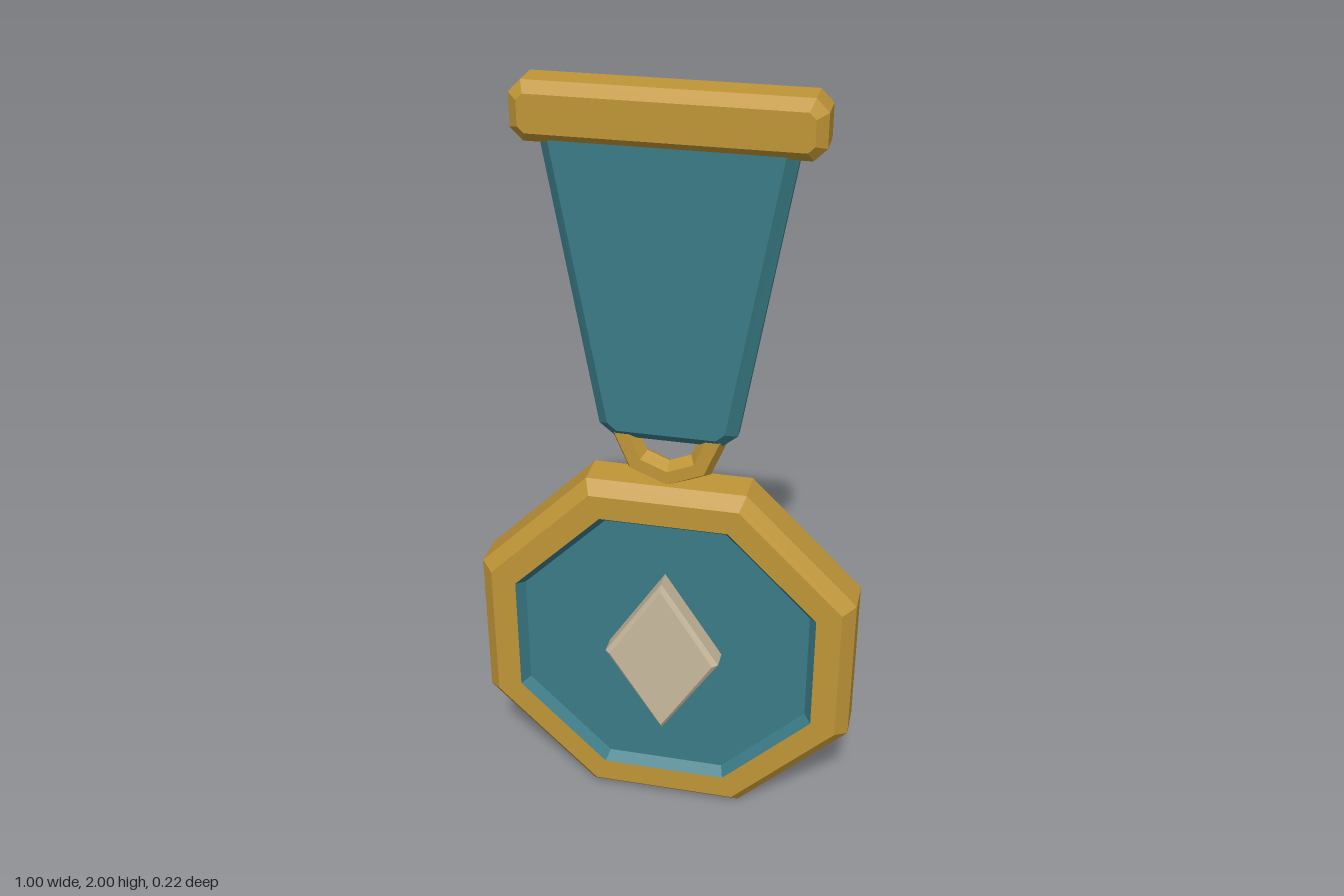
import * as THREE from 'three';

const gold = new THREE.MeshStandardMaterial({ color: 0xbf9537 });
gold.name = 'gold';
const teal = new THREE.MeshStandardMaterial({ color: 0x3a7b86 });
teal.name = 'teal';
const cream = new THREE.MeshStandardMaterial({ color: 0xc8b99d });
cream.name = 'cream';

// Give every face its own hard-edged normal
function faceted(geometry) {
  const g = geometry.index ? geometry.toNonIndexed() : geometry;
  g.computeVertexNormals();
  return g;
}

function part(name, geometry, material, y = 0) {
  const mesh = new THREE.Mesh(faceted(geometry), material);
  mesh.name = name;
  mesh.position.y = y;
  return mesh;
}

// Right half of an outline, mirrored across x = 0 (points run bottom to top)
function mirrored(half) {
  const left = half.filter(([x]) => x > 0).reverse().map(([x, y]) => [-x, y]);
  return new THREE.Shape([...half, ...left].map(([x, y]) => new THREE.Vector2(x, y)));
}

// Plate centred on z = 0, chamfered inwards on both faces
function chamferedPlate(shape, halfDepth, inset, chamferDepth) {
  const depth = 2 * (halfDepth - chamferDepth);
  return new THREE.ExtrudeGeometry(shape, {
    depth, bevelEnabled: true, bevelSegments: 1,
    bevelSize: inset, bevelOffset: -inset, bevelThickness: chamferDepth,
  }).translate(0, 0, -depth / 2);
}

// Octagonal turned form facing z; profile is [flat-to-centre distance, z]
function octagon(profile) {
  const points = profile.map(([r, z]) => new THREE.Vector2(r / Math.cos(Math.PI / 8), z));
  return new THREE.LatheGeometry(points, 8, Math.PI / 8).rotateX(Math.PI / 2);
}

export function createModel() {
  const model = new THREE.Group();
  model.name = 'medal';
  const centre = 0.4975;

  // Octagonal medal with recessed panels on both sides
  model.add(part('medalRim', octagon([
    [0.4, -0.078], [0.465, -0.078], [0.4975, -0.045],
    [0.4975, 0.045], [0.465, 0.078], [0.4, 0.078],
  ]), gold, centre));
  model.add(part('frontPanel', octagon([[0.4, 0.078], [0.38, 0.05], [0, 0.05]]), teal, centre));
  model.add(part('backPanel', octagon([[0, -0.05], [0.38, -0.05], [0.4, -0.078]]), teal, centre));

  // Diamond showing on both faces
  const diamond = mirrored([[0, -0.235], [0.152, 0], [0, 0.235]]);
  model.add(part('diamond', chamferedPlate(diamond, 0.11, 0.012, 0.012), cream, 0.5));

  // Hanging ring
  model.add(part('hangingRing', new THREE.TorusGeometry(0.115, 0.036, 6, 8), gold, 1.126));

  // Tapered ribbon
  const ribbon = mirrored([[0.135, 1.11], [0.175, 1.143], [0.305, 1.9]]);
  model.add(part('ribbon', chamferedPlate(ribbon, 0.045, 0.03, 0.03), teal));

  // Top bar with clipped corners
  const bar = mirrored([[0.33, -0.07], [0.36, -0.04], [0.36, 0.04], [0.33, 0.07]]);
  model.add(part('topBar', chamferedPlate(bar, 0.063, 0.025, 0.025), gold, 1.93));

  return model;
}
